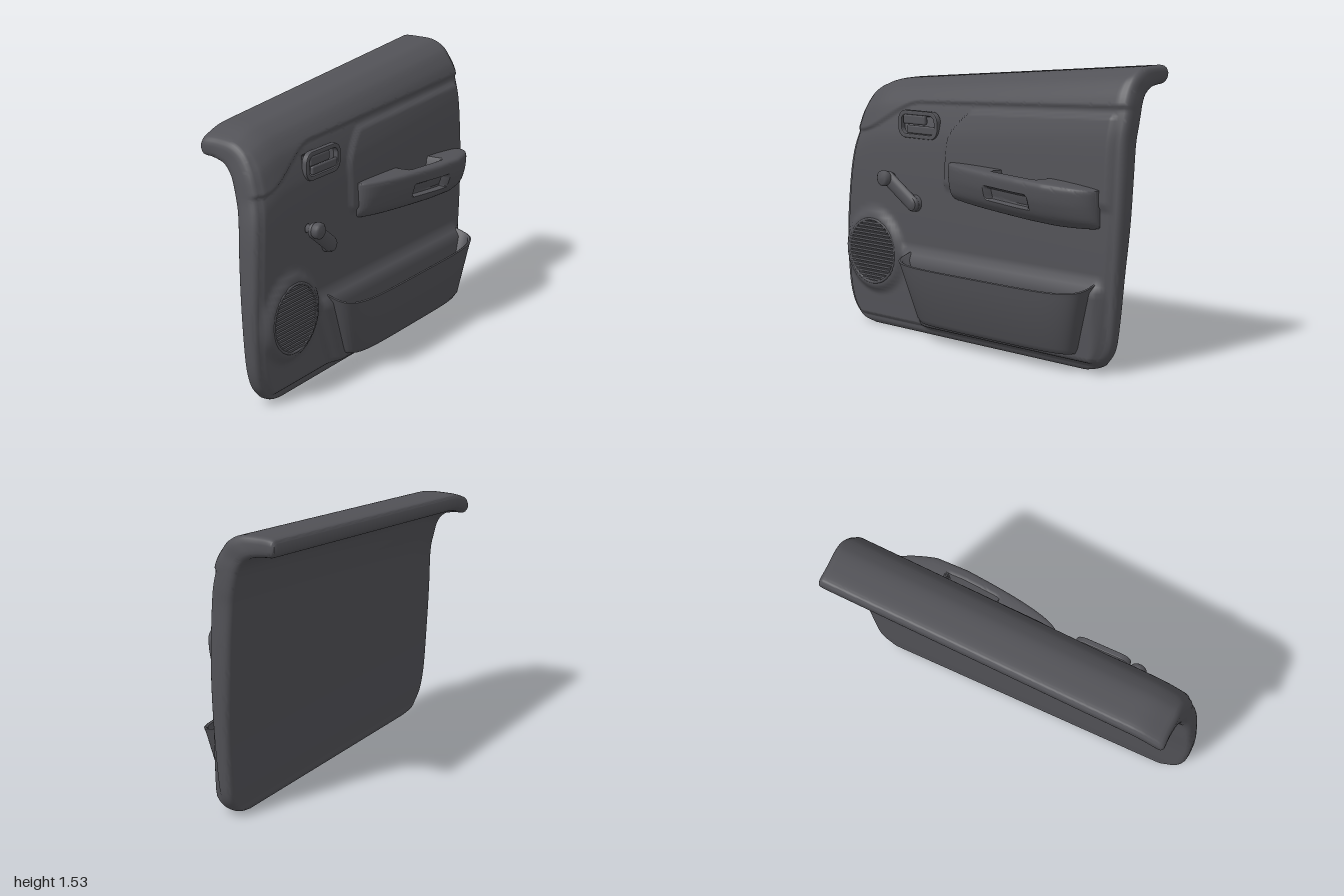
import * as THREE from 'three';
import { toCreasedNormals } from 'three/addons/utils/BufferGeometryUtils.js';
import { RoundedBoxGeometry } from 'three/addons/geometries/RoundedBoxGeometry.js';

const trim = new THREE.MeshStandardMaterial({ color: 0x525257 });
trim.name = 'charcoal trim';

const step = (a, b, v) => THREE.MathUtils.smoothstep(v, a, b);
const lerp = THREE.MathUtils.lerp;
const clamp = (v) => Math.min(1, Math.max(0, v));
// 1 inside the interval a..b, fading to 0 over a width w outside it
const band = (v, a, b, w) => step(a - w, a, v) * (1 - step(b, b + w, v));

// Skin closed sections; caps join point i to its mirror on the loop
function loft(sections, crease) {
  const n = sections[0].length, m = sections.length, index = [];
  for (let j = 0; j < m - 1; j++) {
    for (let i = 0; i < n; i++) {
      const k = (i + 1) % n;
      const a = j * n + i, b = j * n + k, c = b + n, d = a + n;
      index.push(a, b, c, a, c, d);
    }
  }
  const end = (m - 1) * n;
  for (let i = 0; i < n / 2 - 1; i++) {
    const p = i, q = i + 1, r = n - 2 - i, s = n - 1 - i;
    index.push(p, r, q, p, s, r);
    index.push(end + p, end + q, end + r, end + p, end + r, end + s);
  }
  const g = new THREE.BufferGeometry();
  g.setAttribute('position', new THREE.Float32BufferAttribute(sections.flat(2), 3));
  g.setIndex(index);
  return toCreasedNormals(g, crease);
}

// Lower edge of the padded top roll
const padLine = (z) => 1.285 - 0.045 * z - 0.16 * step(0.45, 0.88, z);

// Moulded relief on the cabin face
function relief(z, y, edge) {
  let d = 0.016 * step(0.03, 0.05, edge) * step(0.04, 0.06, y);
  d += 0.016 * step(0, 0.025, y - padLine(z));
  const front = 0.18 - 3.5 * Math.max(0, y - 1.05) ** 2;
  d += 0.018 * band(z, -0.92, front, 0.02) * band(y, 0.85, padLine(z) - 0.04, 0.02);
  const r = Math.hypot(z - 0.73, y - 0.43);
  const speaker = 0.035 * (1 - step(0.19, 0.25, r));
  const swell = 0.05 * (1 - step(0, 0.09, z - 0.33 - (y - 0.1) * 0.4)) * band(y, 0.08, 0.42, 0.06)
    * step(-0.93, -0.86, z);
  d += Math.max(speaker, swell) - 0.018 * (1 - step(0.15, 0.185, r));
  d -= 0.03 * band(z, 0.3, 0.52, 0.02) * band(y, 1.12, 1.2, 0.02);
  return d;
}

function panelGeometry() {
  // cabin x, cabin y, back x, back y, front z, rear z
  const rows = [
    [0.075, 0, 0.03, 0, 0.8, -0.78], [0.088, 0.02, 0.02, 0.02, 0.87, -0.85],
    [0.092, 0.05, 0.02, 0.05, 0.91, -0.89], [0.094, 0.12, 0.015, 0.12, 0.96, -0.93],
    [0.097, 0.25, 0.01, 0.25, 0.99, -0.95], [0.1, 0.5, 0, 0.5, 1, -0.97],
    [0.097, 0.75, -0.02, 0.75, 0.985, -0.985], [0.089, 0.95, -0.035, 0.98, 0.965, -0.99],
    [0.077, 1.15, -0.05, 1.15, 0.95, -0.99], [0.06, 1.26, -0.065, 1.24, 0.94, -0.995],
    [0.032, 1.36, -0.09, 1.34, 0.93, -0.995], [0, 1.43, -0.12, 1.39, 0.92, -0.99],
    [-0.04, 1.49, -0.16, 1.42, 0.91, -0.99], [-0.1, 1.525, -0.2, 1.43, 0.905, -0.985],
    [-0.2, 1.533, -0.24, 1.435, 0.9, -0.98], [-0.28, 1.53, -0.28, 1.44, 0.9, -0.98],
    [-0.3, 1.51, -0.3, 1.46, 0.89, -0.975]];
  const spline = (a, b, c) => new THREE.CatmullRomCurve3(
    rows.map((r) => new THREE.Vector3(r[a], r[b], r[c])), false, 'catmullrom');
  const outer = spline(0, 1, 4), inner = spline(2, 3, 5);
  const R = 140, pairs = [];
  for (let i = 0; i <= R; i++) pairs.push([outer.getPoint(i / R), inner.getPoint(i / R)]);

  const ends = [0, 0.0015, 0.004, 0.008, 0.013];
  const cols = [...ends];
  for (let k = 2; k <= 128; k++) cols.push(k / 130);
  cols.push(...ends.map((e) => 1 - e).reverse());

  // The top edge falls towards the front and rounds over at the corner
  const fall = (y, z) => y - step(0.85, 1.35, y) *
    (0.085 * (z + 0.95) + 0.045 * step(0.66, 0.95, z) ** 2);
  return loft(cols.map((v) => {
    const face = [], back = [];
    for (const [o, p] of pairs) {
      const z = lerp(p.z, o.z, v);
      const edge = Math.min(z - p.z, o.z - z);
      const e = 0.35 * (1 - Math.sqrt(1 - (1 - clamp(edge / 0.03)) ** 2));
      const y = fall(o.y, z);
      const x = o.x + relief(z, y, edge) * step(-0.08, 0.02, o.x);
      face.push([lerp(x, p.x, e), fall(lerp(o.y, p.y, e), z), z]);
      back.push([lerp(p.x, x, e), fall(lerp(p.y, o.y, e), z), z]);
    }
    return [...face, ...back.reverse()];
  }), 1);
}

function armrestGeometry() {
  const profile = [[0.08, 0.74], [0.16, 0.725], [0.235, 0.765], [0.272, 0.84], [0.284, 0.91],
    [0.28, 0.94], [0.262, 0.95], [0.22, 0.952], [0.15, 0.95], [0.08, 0.95]];
  const loop = new THREE.SplineCurve(profile.map((p) => new THREE.Vector2(...p)))
    .getSpacedPoints(59);
  const sections = [];
  for (let j = 0; j <= 100; j++) {
    const z = -0.88 + 1.015 * (0.5 - 0.5 * Math.cos(Math.PI * j / 100));
    const f = clamp((0.14 - z) / 0.6) ** 0.28 * clamp((z + 0.888) / 0.25) ** 0.3;
    const tilt = 0.045 * (z + 0.8) / 0.9;
    sections.push(loop.map((p, i) => {
      let x = p.x, y = p.y;
      // Grip cup in the top, and the slot in the cabin side
      if (i > 34) y -= 0.1 * band(z, -0.53, -0.25, 0.02) * (1 - step(0.2, 0.225, x));
      else x -= 0.04 * band(z, -0.52, -0.24, 0.015) * band(y, 0.81, 0.865, 0.012);
      return [0.08 + (x - 0.08) * f, lerp(0.85, y, 0.75 + 0.25 * f) + tilt, z];
    }));
  }
  return loft(sections, 0.6);
}

function pocketGeometry() {
  // y, front z, rear z, depth x: up the outside, over the rim, down the inside
  const levels = [
    [0.09, 0.28, -0.74, 0.21], [0.097, 0.31, -0.77, 0.237], [0.125, 0.325, -0.785, 0.256],
    [0.44, 0.43, -0.86, 0.298], [0.465, 0.44, -0.87, 0.303], [0.468, 0.432, -0.862, 0.297],
    [0.46, 0.422, -0.852, 0.288], [0.14, 0.31, -0.77, 0.24]];
  return loft(levels.map(([y, zf, zr, depth]) => {
    const u = [];
    for (let i = 0; i < 48; i++) {
      const a = Math.PI * i / 47, c = Math.cos(a);
      const x = 0.1 + (depth - 0.1) * Math.max(0, Math.sin(a)) ** 0.4;
      const z = (zf + zr) / 2 + (zf - zr) / 2 * Math.sign(c) * Math.abs(c) ** 0.4;
      u.push([x, y - 0.25 * (x - 0.1) * step(0.12, 0.44, y), z]);
    }
    return u;
  }), 0.8);
}

// Rounded rectangle as a shape or a hole
function roundRect(s, w, h, r) {
  for (const [x, y, a] of [[1, 1, 0], [-1, 1, 1], [-1, -1, 2], [1, -1, 3]]) {
    s.absarc(x * (w / 2 - r), y * (h / 2 - r), r, a * Math.PI / 2, (a + 1) * Math.PI / 2, false);
  }
  s.closePath();
  return s;
}

export function createModel() {
  const model = new THREE.Group();
  model.name = 'doorPanel';
  const add = (name, geo, x = 0, y = 0, z = 0, parent = model) => {
    const mesh = new THREE.Mesh(geo, trim);
    mesh.name = name;
    mesh.position.set(x, y, z);
    parent.add(mesh);
    return mesh;
  };

  add('panel', panelGeometry());
  add('armrest', armrestGeometry());
  add('mapPocket', pocketGeometry());

  // Door release: bezel, lever and lower plate
  const frame = roundRect(new THREE.Shape(), 0.29, 0.14, 0.05);
  frame.holes.push(roundRect(new THREE.Path(), 0.26, 0.115, 0.04));
  const bezel = new THREE.ExtrudeGeometry(frame, {
    depth: 0.02, bevelSize: 0.006, bevelThickness: 0.006, bevelSegments: 2, curveSegments: 8 });
  add('releaseBezel', bezel.rotateY(Math.PI / 2), 0.074, 1.16, 0.41);
  add('releaseLever', new RoundedBoxGeometry(0.03, 0.055, 0.17, 3, 0.012), 0.085, 1.187, 0.44);
  add('releasePlate', new RoundedBoxGeometry(0.02, 0.045, 0.22, 3, 0.009), 0.085, 1.132, 0.39);

  // Speaker grille: rim and horizontal slats
  const rim = add('speakerRim', new THREE.TorusGeometry(0.18, 0.008, 8, 48), 0.145, 0.43, 0.73);
  rim.rotation.y = Math.PI / 2;
  const grille = new THREE.Group();
  grille.name = 'speakerGrille';
  model.add(grille);
  for (let i = -8; i <= 8; i++) {
    const h = i * 0.02;
    const width = 2 * Math.sqrt(0.175 ** 2 - h * h);
    add('slat', new THREE.BoxGeometry(0.02, 0.012, width), 0.142, 0.43 + h, 0.73, grille);
  }

  // Window crank: hub, arm and knob
  const crank = new THREE.Group();
  crank.name = 'windowCrank';
  model.add(crank);
  const hub = add('hub', new THREE.CylinderGeometry(0.035, 0.05, 0.06, 24), 0.125, 0.73, 0.41, crank);
  hub.rotation.z = -Math.PI / 2;
  const from = new THREE.Vector3(0.14, 0.73, 0.41), to = new THREE.Vector3(0.155, 0.855, 0.58);
  const arm = add('arm', new THREE.CapsuleGeometry(0.043, from.distanceTo(to), 6, 16).scale(1, 1, 0.55),
    0, 0, 0, crank);
  const along = to.clone().sub(from).normalize();
  const side = new THREE.Vector3().crossVectors(along, new THREE.Vector3(1, 0, 0)).normalize();
  arm.setRotationFromMatrix(new THREE.Matrix4().makeBasis(side, along,
    new THREE.Vector3().crossVectors(side, along)));
  arm.position.copy(from).add(to).multiplyScalar(0.5);
  const knobProfile = [[0, -0.04], [0.024, -0.04], [0.024, 0], [0.038, 0.006], [0.044, 0.02],
    [0.042, 0.04], [0.03, 0.05], [0, 0.052]].map((p) => new THREE.Vector2(...p));
  const knob = add('knob', new THREE.LatheGeometry(knobProfile, 24), 0.16, 0.86, 0.585, crank);
  knob.rotation.z = -Math.PI / 2;

  return model;
}
